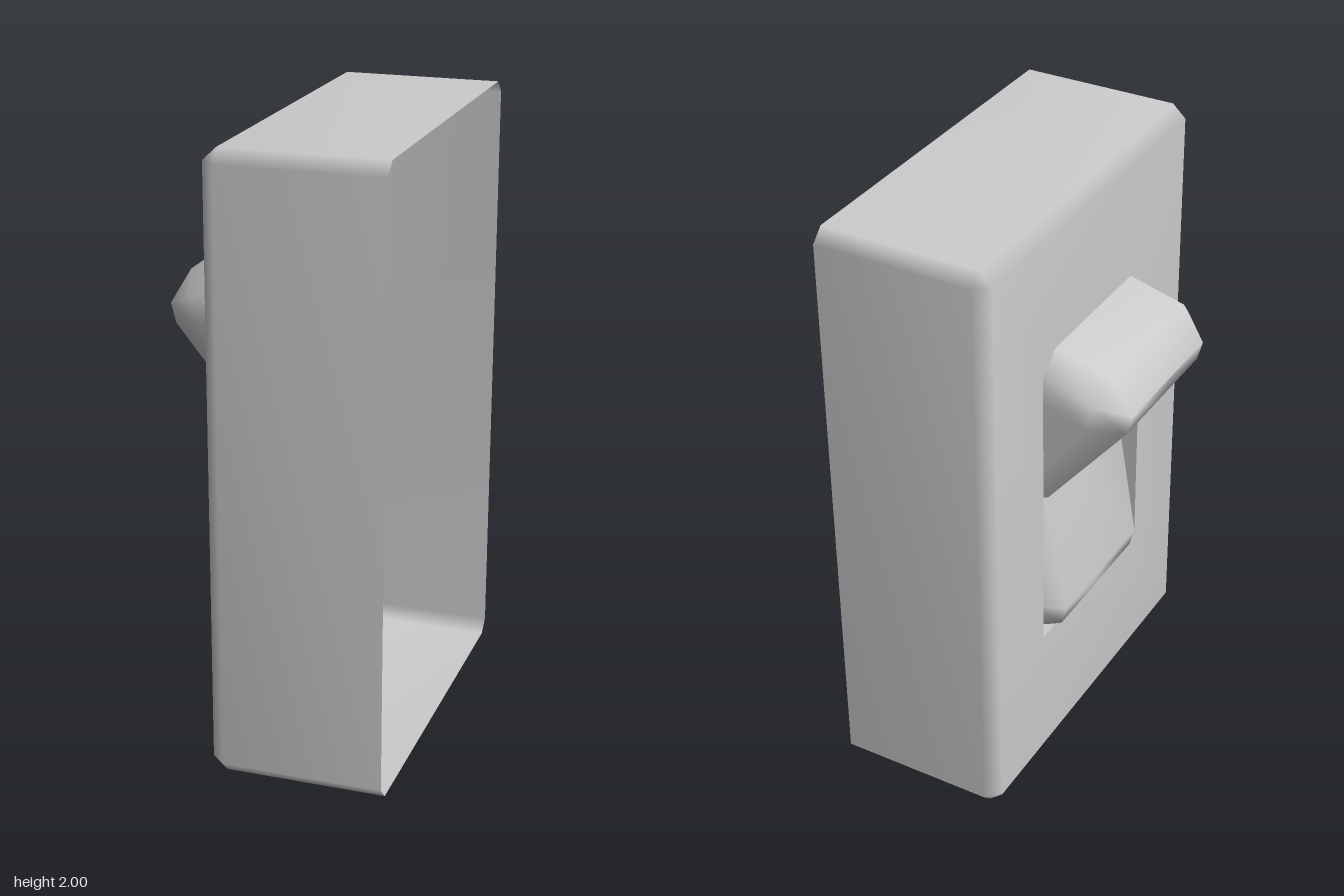
import * as THREE from 'three';
import { mergeVertices } from 'three/addons/utils/BufferGeometryUtils.js';

const material = new THREE.MeshStandardMaterial({ color: 0xcccccc, side: THREE.DoubleSide });

// Skins a list of rings (each a list of [x, y, z]) with quads
function loft(name, rings, { closed = true, flat = false } = {}) {
  const n = rings[0].length;
  const index = [];
  for (let r = 0; r < rings.length - 1; r++) {
    for (let i = 0; i < (closed ? n : n - 1); i++) {
      const j = (i + 1) % n;
      const a = r * n + i, b = r * n + j, c = b + n, d = a + n;
      index.push(a, b, c, a, c, d);
    }
  }
  let geometry = new THREE.BufferGeometry();
  geometry.setAttribute('position', new THREE.Float32BufferAttribute(rings.flat(2), 3));
  geometry.setIndex(index);
  geometry = mergeVertices(geometry, 1e-4);
  if (flat) geometry = geometry.toNonIndexed();
  geometry.computeVertexNormals();
  const mesh = new THREE.Mesh(geometry, material);
  mesh.name = name;
  return mesh;
}

// Rectangle in the y-z plane at depth x, its corners cut by c (8 points)
function ring(x, y0, y1, w, c = 0) {
  return [
    [x, y0 + c, w], [x, y1 - c, w], [x, y1, w - c], [x, y1, c - w],
    [x, y1 - c, -w], [x, y0 + c, -w], [x, y0, c - w], [x, y0, w - c],
  ];
}

// Half of the rocker, from its middle fold (y = 0) to one end; x is depth
function rockerHalf() {
  const side = 0.315, inner = 0.24;
  const outline = (x, w, endW, corner, end, xs) => {
    const half = [
      [xs[0], 0, w], [xs[1], 0.39, w], [x, corner, w], [x, end, endW],
    ];
    return [...half, ...half.map(([px, y, z]) => [px, y, -z]).reverse()];
  };
  const front = outline(-0.038, inner, inner, 0.457, 0.457, [0.137, -0.038]);
  return loft('rockerHalf', [
    outline(0.255, side, inner, 0.48, 0.552, [0.255, 0.255]),
    outline(0.061, side, inner, 0.48, 0.552, [0.23, 0.061]),
    front,
    front.map(([x, y]) => [x, y, 0]),
  ], { closed: false });
}

export function createModel() {
  const model = new THREE.Group();
  model.name = 'rockerSwitch';

  const faceX = -0.155, recessX = 0.083;
  const hole = ring(faceX, 0.505, 1.505, 0.32);

  // Bevelled housing, open at the back, with a rectangular opening in its face
  model.add(loft('housing', [
    ring(0.41, 0, 2, 0.64, 0.042),
    ring(-0.11, 0, 2, 0.64, 0.042),
    ring(faceX, 0.042, 1.958, 0.598),
    hole,
  ]));

  // Shallow box behind the opening
  const recessBack = ring(recessX, 0.505, 1.505, 0.32);
  model.add(loft('recess', [
    hole, recessBack, recessBack.map(() => [recessX, 1.005, 0]),
  ], { flat: true }));

  // Tilted, open-backed rocker with a folded front
  const rocker = new THREE.Group();
  rocker.name = 'rocker';
  const upper = rockerHalf();
  const lower = rockerHalf();
  lower.rotation.x = Math.PI;
  rocker.add(upper, lower);
  rocker.rotation.z = THREE.MathUtils.degToRad(15);
  rocker.position.set(-0.261, 0.973, -0.004);
  model.add(rocker);

  return model;
}
